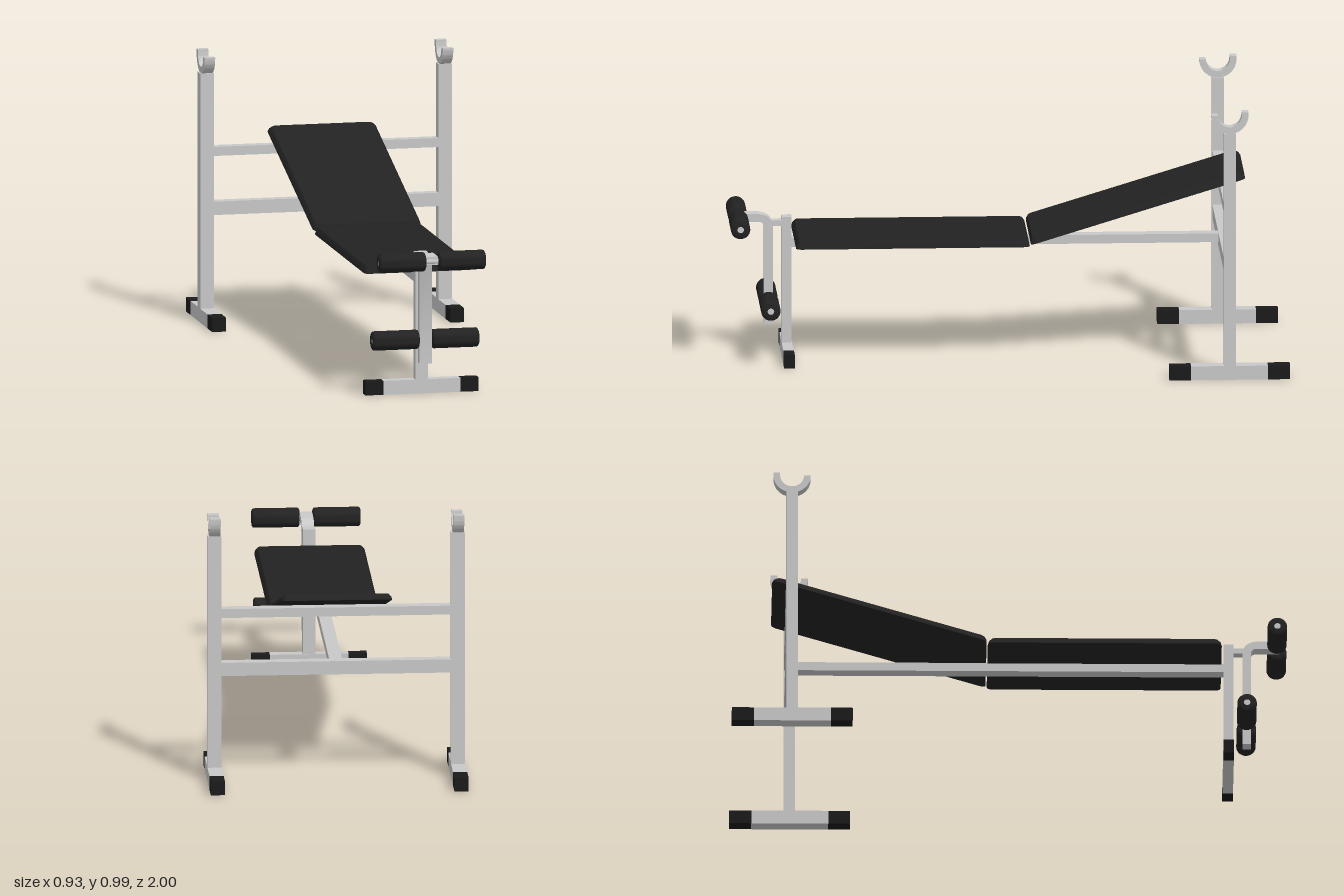
import * as THREE from 'three';
import { mergeVertices, toCreasedNormals } from 'three/addons/utils/BufferGeometryUtils.js';

export function createModel() {
  const model = new THREE.Group();
  model.name = 'weightBench';

  const mat = (name, color) => {
    const m = new THREE.MeshStandardMaterial({ color });
    m.name = name;
    return m;
  };
  const steel = mat('lightGreySteel', 0xc8c8c8);
  const padding = mat('blackPadding', 0x222222);
  const rubber = mat('blackRubber', 0x1a1a1a);

  const add = (name, geometry, material, x = 0, y = 0, z = 0) => {
    const mesh = new THREE.Mesh(geometry, material);
    mesh.name = name;
    mesh.position.set(x, y, z);
    model.add(mesh);
    return mesh;
  };
  // Box given by its limits on each axis
  const bar = (name, material, [x0, x1], [y0, y1], [z0, z1]) =>
    add(name, new THREE.BoxGeometry(x1 - x0, y1 - y0, z1 - z0), material,
      (x0 + x1) / 2, (y0 + y1) / 2, (z0 + z1) / 2);
  // Side profile drawn in (z, y), extruded across x about its centre
  const sideExtrude = (shape, width) => {
    const g = new THREE.ExtrudeGeometry(shape, { depth: width, bevelEnabled: false, curveSegments: 16 });
    g.translate(0, 0, -width / 2).rotateY(-Math.PI / 2);
    return toCreasedNormals(g, 0.6);
  };

  // Rack uprights with feet, end caps and bar hooks
  const postZ = -0.783;
  const hook = new THREE.Shape();
  hook.moveTo(-0.067, 0.012);
  hook.lineTo(-0.067, 0);
  hook.absarc(0, 0, 0.067, Math.PI, Math.PI * 2, false);
  hook.lineTo(0.043, 0);
  hook.absarc(0, 0, 0.043, Math.PI * 2, Math.PI, true);
  hook.lineTo(-0.043, 0.012);
  hook.closePath();
  const hookGeometry = sideExtrude(hook, 0.039);
  for (const side of [-1, 1]) {
    const xs = [side * 0.439 - 0.0255, side * 0.439 + 0.0255];
    bar('rackPost', steel, xs, [0.05, 0.91], [postZ - 0.021, postZ + 0.021]);
    bar('rackFoot', steel, xs, [0, 0.051], [-0.92, -0.643]);
    bar('rackFootCap', rubber, xs, [0, 0.051], [-1, -0.92]);
    bar('rackFootCap', rubber, xs, [0, 0.051], [-0.643, -0.565]);
    add('barHook', hookGeometry, steel, side * 0.439, 0.975, postZ);
  }

  // Crossbars and the long spine under the seat
  bar('upperCrossbar', steel, [-0.414, 0.414], [0.607, 0.64], [-0.803, -0.763]);
  bar('lowerCrossbar', steel, [-0.414, 0.414], [0.391, 0.44], [-0.803, -0.763]);
  bar('spine', steel, [-0.023, 0.023], [0.405, 0.437], [-0.765, 0.78]);

  // Front leg
  bar('frontPost', steel, [-0.023, 0.023], [0.05, 0.515], [0.774, 0.81]);
  bar('frontFoot', steel, [-0.142, 0.142], [0, 0.051], [0.772, 0.81]);
  for (const side of [-1, 1]) {
    const xs = [side * 0.142, side * 0.208].sort((a, b) => a - b);
    bar('frontFootCap', rubber, xs, [0, 0.051], [0.772, 0.81]);
  }

  // Pads: rounded outline, top face drawn in for a bevelled rim
  const pad = (name, length, thickness) => {
    const w = 0.2, r = 0.022, inset = 0.012;
    const s = new THREE.Shape();
    s.moveTo(-w + r, 0);
    s.lineTo(w - r, 0);
    s.quadraticCurveTo(w, 0, w, r);
    s.lineTo(w, length - r);
    s.quadraticCurveTo(w, length, w - r, length);
    s.lineTo(-w + r, length);
    s.quadraticCurveTo(-w, length, -w, length - r);
    s.lineTo(-w, r);
    s.quadraticCurveTo(-w, 0, -w + r, 0);
    const g = new THREE.ExtrudeGeometry(s, { depth: thickness, steps: 2, bevelEnabled: false, curveSegments: 5 });
    const p = g.attributes.position;
    for (let i = 0; i < p.count; i++) {
      const t = p.getZ(i) / thickness;
      const k = inset * t * t;
      p.setX(i, p.getX(i) * (1 - k / w));
      p.setY(i, length / 2 + (p.getY(i) - length / 2) * (1 - 2 * k / length));
    }
    g.rotateX(-Math.PI / 2);
    return add(name, toCreasedNormals(g, 0.5), padding);
  };
  pad('seatPad', 0.842, 0.024).position.set(0, 0.436, 0.766);
  const backrest = pad('backrestPad', 0.807, 0.022);
  backrest.position.set(0, 0.443, -0.08);
  backrest.rotation.x = 0.297;

  // Leg lever: upright tube that bends forward at the top
  const lever = new THREE.Shape();
  lever.moveTo(0.842, 0.12);
  lever.lineTo(0.873, 0.12);
  lever.lineTo(0.873, 0.481);
  lever.quadraticCurveTo(0.874, 0.497, 0.892, 0.498);
  lever.lineTo(0.975, 0.498);
  lever.lineTo(0.975, 0.528);
  lever.lineTo(0.9, 0.528);
  lever.quadraticCurveTo(0.846, 0.526, 0.842, 0.481);
  lever.closePath();
  add('legLever', sideExtrude(lever, 0.045), steel);
  bar('leverBracket', steel, [-0.017, 0.017], [0.482, 0.502], [0.8, 0.85]);

  // Foam rollers on axles
  const h = 0.086, r = 0.035, c = 0.008, bore = 0.012;
  const profile = [
    [bore, -h], [r - c, -h], [r - 0.002, -h + 0.003], [r, -h + c],
    [r, h - c], [r - 0.002, h - 0.003], [r - c, h], [bore, h], [bore, -h],
  ].map(([x, y]) => new THREE.Vector2(x, y));
  const lathe = new THREE.LatheGeometry(profile, 28);
  lathe.rotateZ(Math.PI / 2);
  lathe.deleteAttribute('normal');
  lathe.deleteAttribute('uv');
  const foam = toCreasedNormals(mergeVertices(lathe), 0.9);
  const axle = new THREE.CylinderGeometry(bore, bore, 0.386, 16);
  axle.rotateZ(Math.PI / 2);
  for (const [y, z] of [[0.51, 0.966], [0.207, 0.857]]) {
    add('rollerAxle', axle, steel, 0, y, z);
    for (const side of [-1, 1]) add('foamRoller', foam, padding, side * 0.11, y, z);
  }

  return model;
}
